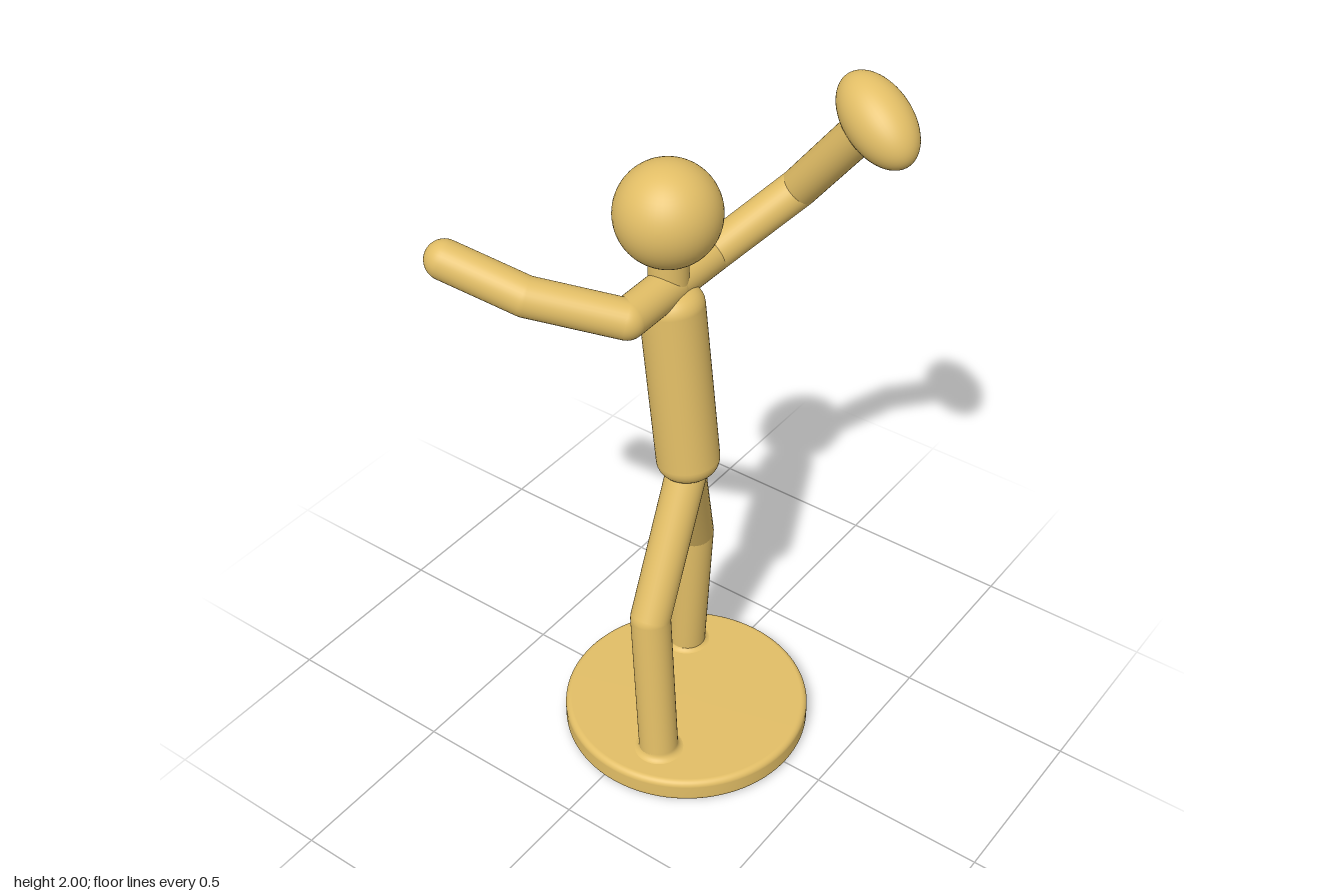
import * as THREE from 'three';

export function createModel() {
  const model = new THREE.Group();
  model.name = 'figureOnStand';
  const material = new THREE.MeshStandardMaterial({ color: 0xe2be66 });
  const up = new THREE.Vector3(0, 1, 0);

  function add(name, geometry, parent = model) {
    const mesh = new THREE.Mesh(geometry, material);
    mesh.name = name;
    parent.add(mesh);
    return mesh;
  }

  // Round-ended rod between two points
  function rod(name, a, b, radius, parent) {
    const p = new THREE.Vector3(...a), q = new THREE.Vector3(...b);
    const mesh = add(name, new THREE.CapsuleGeometry(radius, p.distanceTo(q), 12, 36), parent);
    mesh.position.copy(p).lerp(q, 0.5);
    mesh.quaternion.setFromUnitVectors(up, q.sub(p).normalize());
    return mesh;
  }

  // Limb made of rods that share their joints
  function limb(name, joints, radius, partNames) {
    const group = new THREE.Group();
    group.name = name;
    model.add(group);
    partNames.forEach((part, i) => rod(part, joints[i], joints[i + 1], radius, group));
  }

  // Solid cylinder with rounded rims, from y = 0 to y = height
  function roundedCylinder(radius, height, fillet, segments) {
    const pts = [new THREE.Vector2(0, 0)];
    for (const [cy, start] of [[fillet, -Math.PI / 2], [height - fillet, 0]]) {
      for (let i = 0; i <= 8; i++) {
        const a = start + (i / 8) * Math.PI / 2;
        pts.push(new THREE.Vector2(radius - fillet + fillet * Math.cos(a), cy + fillet * Math.sin(a)));
      }
    }
    pts.push(new THREE.Vector2(0, height));
    return new THREE.LatheGeometry(pts, segments);
  }

  // Concave collar blending a rod into a flat surface
  function collar(name, x, y, z, radius, fillet) {
    const pts = [];
    for (let i = 0; i <= 8; i++) {
      const a = (i / 8) * Math.PI / 2;
      pts.push(new THREE.Vector2(radius + fillet * (1 - Math.sin(a)), fillet * (1 - Math.cos(a))));
    }
    add(name, new THREE.LatheGeometry(pts, 36)).position.set(x, y, z);
  }

  // Stand
  add('base', roundedCylinder(0.35, 0.072, 0.018, 96)).position.set(0, 0, 0.04);

  // Torso, leaning slightly back
  const hip = new THREE.Vector3(0, 0.9, 0.047), chest = new THREE.Vector3(0, 1.46, -0.016);
  const torso = add('torso', roundedCylinder(0.085, hip.distanceTo(chest), 0.05, 48));
  torso.position.copy(hip);
  torso.quaternion.setFromUnitVectors(up, chest.clone().sub(hip).normalize());

  // Neck and head
  rod('neck', [0, 1.43, -0.02], [0, 1.6, -0.022], 0.052);
  add('head', new THREE.SphereGeometry(0.137, 48, 32)).position.set(0, 1.672, -0.022);

  // Legs
  const legParts = ['thigh', 'shin'];
  limb('leftLeg', [[0, 0.92, 0.03], [0.178, 0.52, -0.062], [0.187, 0.06, -0.095]], 0.055, legParts);
  limb('rightLeg', [[0, 0.92, 0.042], [-0.195, 0.53, 0.06], [-0.215, 0.06, 0.1]], 0.055, legParts);
  collar('leftFootCollar', 0.187, 0.071, -0.095, 0.053, 0.022);
  collar('rightFootCollar', -0.215, 0.071, 0.1, 0.053, 0.022);

  // Shoulders and arms
  const armParts = ['shoulder', 'upperArm', 'forearm'];
  limb('leftArm', [[0, 1.465, -0.018], [0.185, 1.465, -0.018], [0.355, 1.625, 0.125], [0.322, 1.87, 0.32]], 0.051, armParts);
  limb('rightArm', [[0, 1.465, -0.018], [-0.18, 1.465, -0.014], [-0.31, 1.52, -0.22], [-0.37, 1.58, -0.42]], 0.052, armParts);

  // Oval ball held in the raised left hand
  const ball = add('ball', new THREE.SphereGeometry(1, 48, 32));
  ball.scale.set(0.083, 0.136, 0.083);
  ball.position.set(0.333, 1.898, 0.35);
  ball.quaternion.setFromUnitVectors(up, new THREE.Vector3(0.27, 0.505, -0.817).normalize());

  return model;
}
